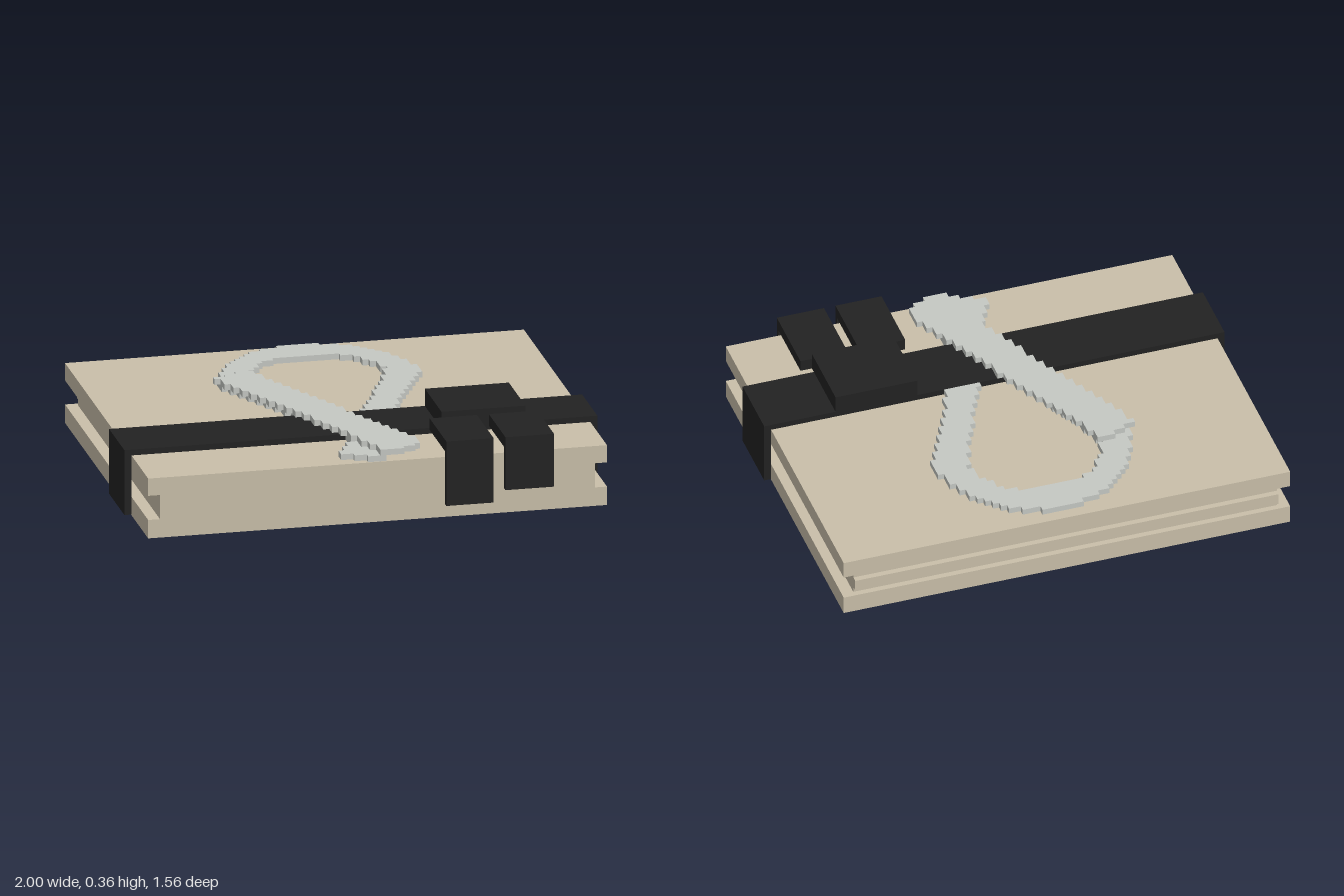
import * as THREE from 'three';
import { mergeGeometries } from 'three/addons/utils/BufferGeometryUtils.js';

const paper = new THREE.MeshStandardMaterial({ color: 0xc9bfa9 });
paper.name = 'tan board';
const strapMat = new THREE.MeshStandardMaterial({ color: 0x222222 });
strapMat.name = 'black strap';
const ribbonMat = new THREE.MeshStandardMaterial({ color: 0xc5c8c3 });
ribbonMat.name = 'pale grey ribbon';

// Box geometry given by its two extreme corners
function span(x0, x1, y0, y1, z0, z1) {
  const g = new THREE.BoxGeometry(x1 - x0, y1 - y0, z1 - z0);
  return g.translate((x0 + x1) / 2, (y0 + y1) / 2, (z0 + z1) / 2);
}

function inside(x, z, poly) {
  let hit = false;
  for (let i = 0, j = poly.length - 1; i < poly.length; j = i++) {
    const [ax, az] = poly[i], [bx, bz] = poly[j];
    if (az > z !== bz > z && x < ax + ((z - az) / (bz - az)) * (bx - ax)) hit = !hit;
  }
  return hit;
}

// Stepped slab: the outline is filled in rows of small square cells
function steppedSlab(y0, y1, zMin, zMax, outline, hole = []) {
  const rows = Math.round((zMax - zMin) / 0.0257);
  const dz = (zMax - zMin) / rows, dx = 0.0257, runs = [];
  for (let r = 0; r < rows; r++) {
    const z = zMin + (r + 0.5) * dz;
    let start = null;
    for (let i = -20; i <= 20; i++) {
      const x = i * dx;
      const on = inside(x, z, outline) && !inside(x, z, hole);
      if (on && start === null) start = x - dx / 2;
      if (!on && start !== null) {
        runs.push(span(start, x - dx / 2, y0, y1, z - dz / 2, z + dz / 2));
        start = null;
      }
    }
  }
  return mergeGeometries(runs);
}

// Closes a half outline by mirroring it across x = 0
const mirrored = (half) => [...half, ...half.map(([x, z]) => [-x, z]).reverse()];

export function createModel() {
  const model = new THREE.Group();
  const add = (name, geometry, material) => {
    const mesh = new THREE.Mesh(geometry, material);
    mesh.name = name;
    model.add(mesh);
  };

  // Covers with a recessed core and a rib along the back
  add('bottomCover', span(-0.97, 0.97, 0, 0.08, -0.78, 0.755), paper);
  add('topCover', span(-0.97, 0.97, 0.185, 0.26, -0.78, 0.755), paper);
  add('core', span(-0.92, 0.92, 0.08, 0.185, -0.755, 0.755), paper);
  add('backRib', span(-0.92, 0.92, 0.105, 0.155, -0.78, -0.755), paper);

  // Strap over the top and down both sides
  add('strapTop', span(-1, 1, 0.26, 0.285, 0.165, 0.447), strapMat);
  for (const [name, x] of [['strapLeft', 0.985], ['strapRight', -0.985]])
    add(name, span(x - 0.015, x + 0.015, 0.003, 0.26, 0.165, 0.447), strapMat);

  // Knot and its two tails folded over the front edge
  add('knot', span(0.335, 0.69, 0.285, 0.36, 0.165, 0.472), strapMat);
  for (const [name, x0, x1, low] of [['tailRight', 0.285, 0.485, 0.055], ['tailLeft', 0.535, 0.74, 0.105]]) {
    add(name + 'Top', span(x0, x1, 0.285, 0.335, 0.472, 0.78), strapMat);
    add(name + 'Drop', span(x0, x1, low, 0.285, 0.757, 0.78), strapMat);
  }

  // Lower ribbon: loop behind the strap, tail in front of it
  const outer = mirrored([[0.03, -0.74], [0.13, -0.705], [0.23, -0.655], [0.32, -0.57],
    [0.38, -0.47], [0.41, -0.37], [0.42, -0.3], [0.37, -0.2], [0.29, -0.02], [0.2, 0.17]]);
  const inner = mirrored([[0.12, -0.588], [0.2, -0.53], [0.26, -0.44], [0.285, -0.36],
    [0.26, -0.27], [0.17, -0.06], [0.065, 0.17]]);
  add('ribbonLoop', steppedSlab(0.26, 0.285, -0.73, 0.165, outer, inner), ribbonMat);
  add('ribbonLowerTail', steppedSlab(0.26, 0.285, 0.447, 0.75,
    [[-0.08, 0.44], [-0.065, 0.53], [-0.13, 0.64], [-0.13, 0.7], [-0.05, 0.735],
      [0.02, 0.76], [0.06, 0.62], [0.125, 0.5], [0.125, 0.44]]), ribbonMat);

  // Upper ribbon crossing over the strap
  add('ribbonUpperTail', steppedSlab(0.285, 0.31, -0.37, 0.75,
    [[-0.445, -0.3], [-0.425, -0.325], [-0.29, -0.375], [-0.03, 0.165], [0.205, 0.66],
      [0.205, 0.7], [0.07, 0.755], [0.03, 0.76], [0, 0.68], [-0.1, 0.42]]), ribbonMat);

  return model;
}
